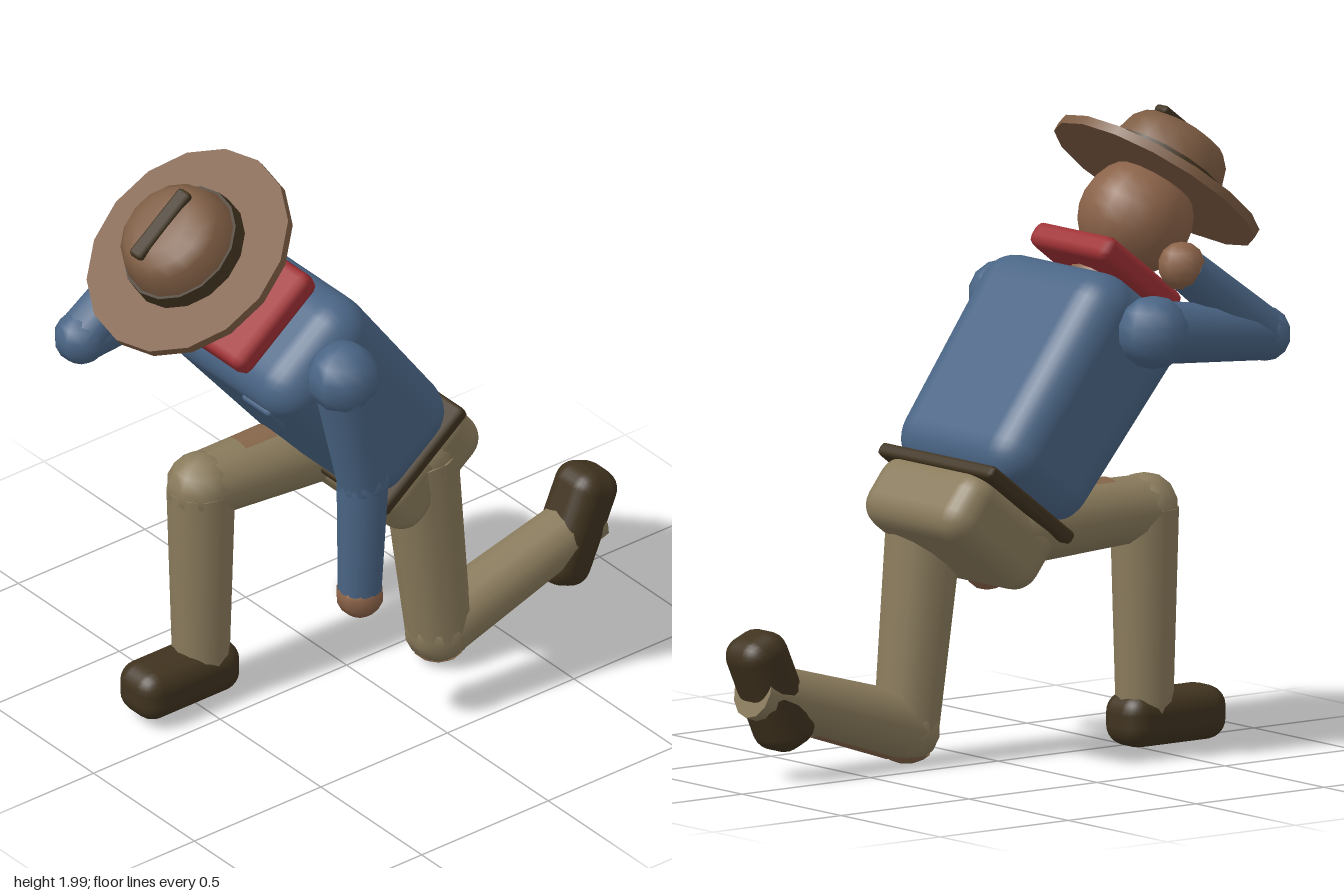
import * as THREE from 'three';
import { RoundedBoxGeometry } from 'three/addons/geometries/RoundedBoxGeometry.js';

const mat = (name, color) => Object.assign(new THREE.MeshStandardMaterial({ color }), { name });
const V = (x, y, z) => new THREE.Vector3(x, y, z);

export function createModel() {
  const shirt = mat('shirt blue', 0x4a6585);
  const trousers = mat('khaki', 0x8a7b5c);
  const leather = mat('dark leather', 0x40331f);
  const skin = mat('skin', 0x8a6248);
  const felt = mat('hat brown', 0x7d5c43);
  const red = mat('scarf red', 0xa03034);
  const patch = mat('patch brown', 0x85664a);
  patch.side = THREE.DoubleSide;

  const model = new THREE.Group();
  model.name = 'kneelingFigure';

  const add = (parent, name, geometry, material, x = 0, y = 0, z = 0) => {
    const mesh = new THREE.Mesh(geometry, material);
    mesh.name = name;
    mesh.position.set(x, y, z);
    parent.add(mesh);
    return mesh;
  };
  const box = (w, h, d, r, seg = 3) => new RoundedBoxGeometry(w, h, d, seg, r);
  const ball = (name, p, r, material) =>
    add(model, name, new THREE.SphereGeometry(r, 10, 7), material, p.x, p.y, p.z);

  // Tapered cylinder from a to b; an arc makes an open strip along it
  const limb = (name, a, b, ra, rb, material, start, arc) => {
    const dir = b.clone().sub(a);
    const geometry = new THREE.CylinderGeometry(rb, ra, dir.length(), 12, 1, !!arc, start, arc);
    const mid = a.clone().add(b).multiplyScalar(0.5);
    const mesh = add(model, name, geometry, material, mid.x, mid.y, mid.z);
    mesh.quaternion.setFromUnitVectors(V(0, 1, 0), dir.normalize());
  };

  // Upper body leans forward about the belt
  const body = new THREE.Group();
  body.name = 'upperBody';
  body.position.set(0, 0.855, -0.085);
  body.rotation.x = 0.66;
  model.add(body);

  // Torso, a little narrower at the waist
  const torso = box(0.65, 0.76, 0.43, 0.12, 4);
  const p = torso.attributes.position;
  for (let i = 0; i < p.count; i++) {
    const t = (p.getY(i) + 0.38) / 0.76;
    p.setX(i, p.getX(i) * (0.95 + 0.06 * t));
    p.setZ(i, p.getZ(i) * (0.93 + 0.1 * t));
  }
  torso.computeBoundingSphere();
  add(body, 'torso', torso, shirt, 0, 0.38, 0);
  add(body, 'pocket', box(0.14, 0.11, 0.04, 0.015, 1), shirt, 0.16, 0.6, 0.21);
  add(body, 'belt', box(0.57, 0.045, 0.41, 0.015, 1), leather);
  add(body, 'hips', box(0.51, 0.24, 0.42, 0.08), trousers, 0, -0.11, 0);
  add(body, 'neck', new THREE.CylinderGeometry(0.09, 0.1, 0.2, 12), skin, 0, 0.83, 0);
  add(body, 'scarf', box(0.385, 0.085, 0.37, 0.03, 1), red, 0, 0.825, 0);

  // Head and nose
  add(body, 'head', new THREE.SphereGeometry(0.18, 16, 12), skin, 0, 1.015, 0);
  add(body, 'nose', new THREE.SphereGeometry(0.03, 8, 6), skin, 0, 1.0, 0.18);

  // Hat with brim, band, domed crown and crease
  add(body, 'hatBrim', new THREE.CylinderGeometry(0.355, 0.355, 0.03, 16), felt, 0, 1.15, 0);
  add(body, 'hatBand', new THREE.CylinderGeometry(0.198, 0.203, 0.05, 16), leather, 0, 1.19, 0);
  const crown = [[0.195, 0], [0.188, 0.07], [0.17, 0.13], [0.14, 0.165], [0.09, 0.18], [0, 0.183]];
  add(body, 'hatCrown',
    new THREE.LatheGeometry(crown.map(([x, y]) => new THREE.Vector2(x, y)), 16), felt, 0, 1.155, 0);
  add(body, 'hatCrease', box(0.055, 0.03, 0.26, 0.012, 1), leather, 0, 1.336, 0);

  // Arms: the left hangs down, the right is raised to the hat
  const arms = [
    ['left', V(0.385, 1.38, 0.32), V(0.375, 0.97, 0.235), V(0.367, 0.57, 0.24)],
    ['right', V(-0.385, 1.37, 0.31), V(-0.375, 1.32, 0.75), V(-0.37, 1.55, 0.45)],
  ];
  for (const [side, shoulder, elbow, wrist] of arms) {
    ball(side + 'Shoulder', shoulder, 0.115, shirt);
    limb(side + 'UpperArm', shoulder, elbow, 0.1, 0.083, shirt);
    ball(side + 'Elbow', elbow, 0.086, shirt);
    limb(side + 'Forearm', elbow, wrist, 0.083, 0.07, shirt);
    const hand = wrist.clone().lerp(elbow, -0.06);
    ball(side + 'Hand', hand, 0.076, skin);
  }

  // Legs: the right foot is planted, the left knee is on the ground
  const legs = [
    ['right', V(-0.13, 0.76, -0.08), V(-0.145, 0.775, 0.46), V(-0.145, 0.14, 0.46)],
    ['left', V(0.145, 0.8, -0.17), V(0.14, 0.12, -0.25), V(0.14, 0.3, -0.85)],
  ];
  for (const [side, hip, knee, ankle] of legs) {
    ball(side + 'Hip', hip, 0.125, trousers);
    limb(side + 'Thigh', hip, knee, 0.125, 0.105, trousers);
    ball(side + 'Knee', knee, 0.11, trousers);
    limb(side + 'Shin', knee, ankle, 0.108, 0.09, trousers);
  }

  // Worn patches on the trousers
  limb('shinPatch', V(0.14, 0.135, -0.3), V(0.14, 0.225, -0.6), 0.11, 0.101, patch, Math.PI - 0.45, 0.9);
  limb('thighPatch', V(-0.138, 0.768, 0.2), V(-0.141, 0.771, 0.32), 0.118, 0.113, patch, Math.PI - 0.4, 0.8);
  const cap = new THREE.SphereGeometry(0.113, 10, 3, 0, Math.PI * 2, 0, 0.75);
  add(model, 'kneePatch', cap, patch, 0.14, 0.12, -0.25).rotation.x = Math.PI;

  // Boots
  const boot = box(0.185, 0.17, 0.39, 0.065);
  add(model, 'rightBoot', boot, leather, -0.143, 0.115, 0.545);
  add(model, 'leftBoot', boot, leather, 0.143, 0.29, -0.78).rotation.x = 1.16;

  return model;
}
